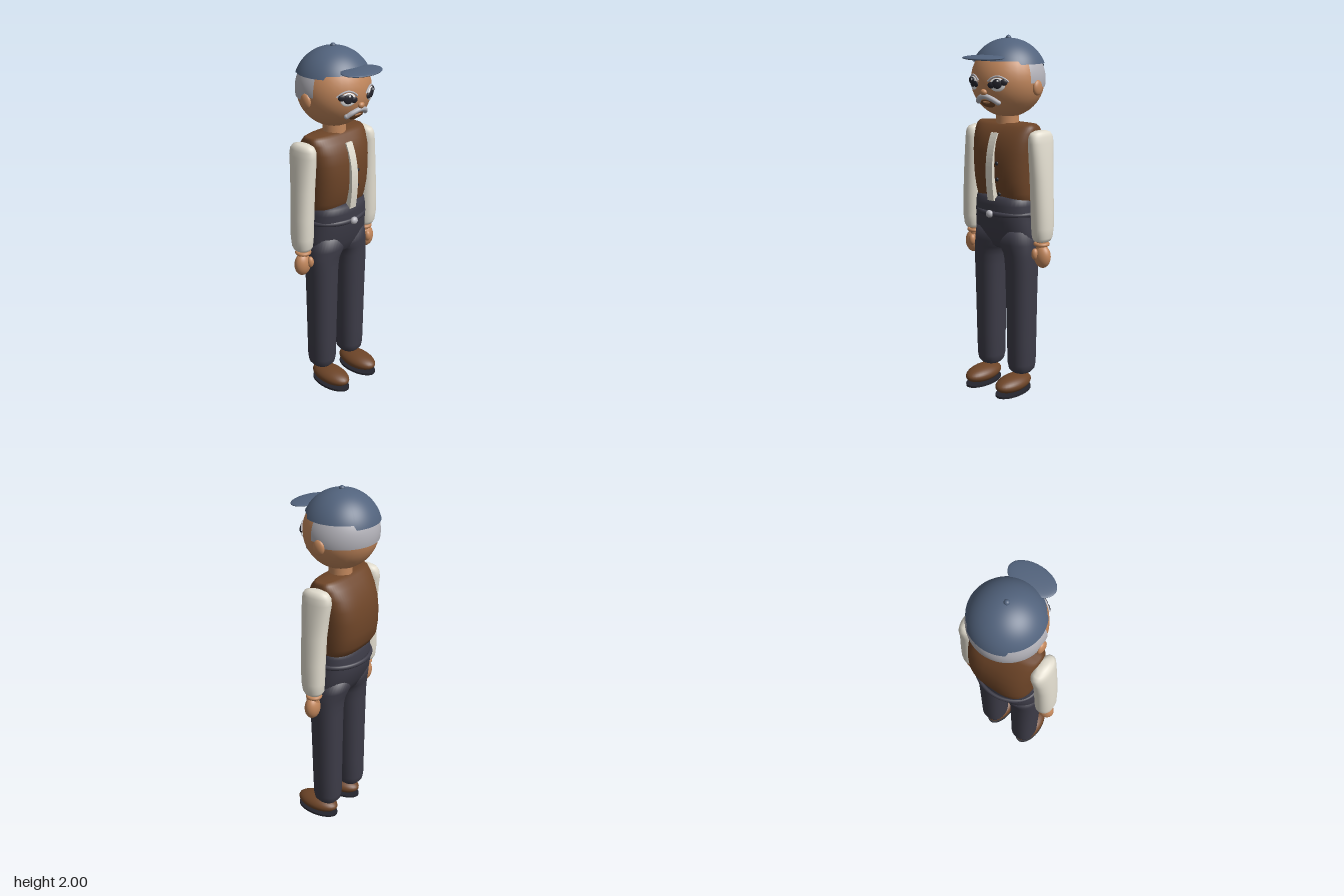
import * as THREE from 'three';

const mat = (name, color, side = THREE.FrontSide) => {
  const m = new THREE.MeshStandardMaterial({ color, side });
  m.name = name;
  return m;
};

export function createModel() {
  const skin = mat('skin', 0xc2875c), brown = mat('brown leather', 0x6e4528);
  const cloth = mat('cream shirt', 0xe2ddcf), navy = mat('dark trousers', 0x3d3c48);
  const blue = mat('cap blue', 0x52637d, THREE.DoubleSide), grey = mat('grey hair', 0xb4b3ba, THREE.DoubleSide);
  const dark = mat('near black', 0x25252d), white = mat('eye white', 0xeeeeee);
  const model = new THREE.Group();
  model.name = 'oldManInCap';

  const add = (name, geo, material, x = 0, y = 0, z = 0) => {
    const mesh = new THREE.Mesh(geo, material);
    mesh.name = name;
    mesh.position.set(x, y, z);
    model.add(mesh);
    return mesh;
  };
  const ball = (name, material, x, y, z, rx, ry = rx, rz = rx) => {
    const mesh = add(name, new THREE.SphereGeometry(1, 32, 20), material, x, y, z);
    mesh.scale.set(rx, ry, rz);
    return mesh;
  };

  // Closed body through superellipse sections [y, xMin, xMax, zMin, zMax], bottom to top
  const loft = (rows, power = 2, n = 40) => {
    const pos = [], idx = [];
    const bend = (v) => Math.sign(v) * Math.abs(v) ** (2 / power);
    for (const [y, x0, x1, z0, z1] of rows) {
      for (let i = 0; i < n; i++) {
        const a = (i / n) * Math.PI * 2;
        pos.push((x0 + x1) / 2 + ((x1 - x0) / 2) * bend(Math.cos(a)), y, (z0 + z1) / 2 + ((z1 - z0) / 2) * bend(Math.sin(a)));
      }
    }
    for (let r = 0; r < rows.length - 1; r++) {
      for (let i = 0; i < n; i++) {
        const a = r * n + i, b = r * n + ((i + 1) % n);
        idx.push(a, a + n, b, b, a + n, b + n);
      }
    }
    for (const r of [0, rows.length - 1]) {
      const [y, x0, x1, z0, z1] = rows[r], c = pos.length / 3;
      pos.push((x0 + x1) / 2, y, (z0 + z1) / 2);
      for (let i = 0; i < n; i++) {
        const a = r * n + i, b = r * n + ((i + 1) % n);
        if (r) idx.push(c, b, a);
        else idx.push(c, a, b);
      }
    }
    const g = new THREE.BufferGeometry();
    g.setAttribute('position', new THREE.Float32BufferAttribute(pos, 3));
    g.setIndex(idx);
    g.computeVertexNormals();
    return g;
  };
  const mirrorRows = (rows, s) => rows.map(([y, a, b, c, d]) => (s > 0 ? [y, a, b, c, d] : [y, -b, -a, c, d]));

  // Head, neck and hair
  const HY = 1.765, HZ = -0.035, HR = 0.2;
  ball('head', skin, 0, HY, HZ, HR, 0.203, HR);
  add('neck', new THREE.CylinderGeometry(0.062, 0.064, 0.12, 32), skin, 0, 1.56, -0.033);
  const hairShell = (name, r, start, bottom) => add(name,
    new THREE.SphereGeometry(r, 48, 16, Math.PI + start, Math.PI - 2 * start, 0.9, bottom - 0.9), grey, 0, HY, HZ);
  hairShell('sideHair', 0.204, -0.23, Math.PI / 2 + 0.05);
  hairShell('backHair', 0.205, 0.18, Math.PI / 2 + 0.18);

  // Cap: dome whose rim steps down from front to back
  const dome = new THREE.SphereGeometry(0.21, 96, 20, 0, Math.PI * 2, 0, 1);
  const p = dome.attributes.position, nor = dome.attributes.normal, v = new THREE.Vector3();
  for (let i = 0; i < p.count; i++) {
    const phi = dome.attributes.uv.getX(i) * Math.PI * 2;
    const dx = -Math.cos(phi), dz = Math.sin(phi);
    const rim = dz > 0.55 ? 1.1 : dz < 0 && Math.abs(dx) < 0.57 ? 1.31 : 1.19;
    const t = (1 - dome.attributes.uv.getY(i)) * rim;
    v.set(dx * Math.sin(t), Math.cos(t), dz * Math.sin(t));
    nor.setXYZ(i, v.x, v.y, v.z);
    v.multiplyScalar(0.21);
    p.setXYZ(i, v.x, v.y, v.z);
  }
  add('capDome', dome, blue, 0, 1.775, -0.04);
  ball('capButton', blue, 0, 1.985, -0.04, 0.015);
  ball('capBrim', blue, 0, 1.888, 0.162, 0.131, 0.012, 0.082).rotation.x = 0.06;

  // Face details sit flat against the head
  const onFace = (x, y, lift = 0) => {
    const d = new THREE.Vector3(x, y - HY, Math.sqrt(HR * HR - x * x - (y - HY) ** 2)).normalize();
    return d.multiplyScalar(HR + lift).add(new THREE.Vector3(0, HY, HZ));
  };
  const faceDot = (name, material, x, y, lift, rx, ry, rz = 0.008) => {
    const q = onFace(x, y, lift);
    const m = ball(name, material, q.x, q.y, q.z, rx, ry, rz);
    m.lookAt(q.x * 2, q.y * 2 - HY, q.z * 2 - HZ);
    return m;
  };
  const faceTube = (name, material, pts, r, lift) => add(name, new THREE.TubeGeometry(
    new THREE.CatmullRomCurve3(pts.map(([x, y]) => onFace(x, y, lift))), 24, r, 10), material);

  for (const s of [1, -1]) {
    faceDot('eyeWhite', white, s * 0.083, 1.752, 0.001, 0.043, 0.036);
    faceDot('iris', dark, s * 0.083, 1.757, 0.007, 0.027, 0.026);
    for (const o of [-0.03, 0.03]) faceDot('eyelid', dark, s * 0.083 + o, 1.757 + s * o * 0.25, 0.006, 0.02, 0.017);
    faceDot('eyeGlint', white, s * 0.083 + 0.004, 1.772, 0.014, 0.006, 0.006, 0.003);
    faceTube('eyebrow', grey, [-0.05, -0.03, 0, 0.03, 0.05].map((o) => [s * 0.083 + o, 1.795 - o * o * 11]), 0.005, 0.003);
    ball('ear', skin, s * 0.202, 1.73, -0.04, 0.018, 0.041, 0.034);
  }
  faceDot('nose', skin, 0, 1.71, 0.004, 0.02, 0.017, 0.016);
  faceDot('mouth', brown, 0, 1.647, 0.001, 0.05, 0.026);
  faceDot('lip', skin, 0, 1.658, 0.007, 0.025, 0.007, 0.004);
  faceTube('moustache', grey, [-0.068, -0.045, 0, 0.045, 0.068].map((x) => [x, 1.69 - x * x * 7]), 0.014, 0.006);
  for (const s of [1, -1]) faceDot('moustacheTip', grey, s * 0.068, 1.658, 0.006, 0.014, 0.014, 0.013);

  // Vest with shirt placket and buttons
  add('vest', loft([
    [1.1, -0.16, 0.16, -0.14, 0.05], [1.115, -0.18, 0.18, -0.17, 0.068], [1.16, -0.186, 0.186, -0.198, 0.085],
    [1.23, -0.19, 0.19, -0.209, 0.1], [1.31, -0.193, 0.193, -0.21, 0.105], [1.38, -0.196, 0.196, -0.198, 0.102],
    [1.44, -0.199, 0.199, -0.175, 0.09], [1.49, -0.201, 0.201, -0.142, 0.066], [1.52, -0.2, 0.2, -0.112, 0.04],
    [1.534, -0.19, 0.19, -0.09, 0.02],
  ], 3, 56), brown);
  const side = new THREE.Shape();
  side.moveTo(-0.06, 1.485);
  side.lineTo(-0.078, 1.485);
  side.bezierCurveTo(-0.135, 1.37, -0.13, 1.25, -0.108, 1.115);
  side.lineTo(-0.04, 1.115);
  side.bezierCurveTo(-0.07, 1.25, -0.07, 1.37, -0.04, 1.485);
  const strip = new THREE.ExtrudeGeometry(side, { depth: 0.046, bevelEnabled: false, curveSegments: 16 });
  add('shirtPlacket', strip.translate(0, 0, -0.023).rotateY(Math.PI / 2), cloth);
  [[1.325, 0.104], [1.237, 0.101], [1.153, 0.084]].forEach(([y, z]) => ball('vestButton', dark, 0.04, y, z, 0.011, 0.011, 0.008));

  // Trousers: hips, legs and belt
  add('hips', loft([
    [0.835, -0.15, 0.15, -0.09, 0.04], [0.85, -0.185, 0.185, -0.118, 0.06], [0.9, -0.196, 0.196, -0.142, 0.078],
    [0.95, -0.196, 0.196, -0.163, 0.09], [1.0, -0.192, 0.192, -0.175, 0.1], [1.04, -0.187, 0.187, -0.177, 0.104],
    [1.09, -0.185, 0.185, -0.172, 0.104], [1.125, -0.178, 0.178, -0.162, 0.1], [1.14, -0.15, 0.15, -0.14, 0.08],
  ], 2.4), navy);
  const legRows = [
    [0.1, 0.08, 0.15, -0.065, 0.01], [0.107, 0.06, 0.17, -0.085, 0.032], [0.125, 0.047, 0.184, -0.1, 0.048],
    [0.16, 0.04, 0.19, -0.107, 0.055], [0.3, 0.037, 0.193, -0.108, 0.058], [0.55, 0.031, 0.197, -0.11, 0.063],
    [0.72, 0.027, 0.201, -0.112, 0.067], [0.78, 0.021, 0.202, -0.115, 0.069], [0.81, 0.013, 0.202, -0.119, 0.07],
    [0.83, 0, 0.202, -0.123, 0.072], [0.87, -0.03, 0.2, -0.134, 0.076], [0.95, -0.05, 0.19, -0.15, 0.08],
  ];
  const belt = add('belt', new THREE.TorusGeometry(0.185, 0.014, 14, 64).rotateX(Math.PI / 2), navy, 0, 1.042, -0.04);
  belt.scale.z = 0.8;
  ball('beltBuckle', grey, 0, 1.042, 0.118, 0.023, 0.021, 0.018);

  // Arms, hands and shoes on both sides
  const sleeveRows = [
    [0.9, 0.22, 0.28, -0.065, 0], [0.905, 0.207, 0.292, -0.08, 0.015], [0.925, 0.199, 0.302, -0.092, 0.027],
    [0.98, 0.196, 0.308, -0.097, 0.034], [1.1, 0.191, 0.305, -0.1, 0.036], [1.25, 0.185, 0.296, -0.105, 0.038],
    [1.37, 0.178, 0.284, -0.118, 0.042], [1.44, 0.177, 0.275, -0.13, 0.045], [1.475, 0.18, 0.269, -0.126, 0.043],
    [1.495, 0.188, 0.26, -0.11, 0.03], [1.504, 0.2, 0.245, -0.08, 0.0],
  ];
  for (const s of [1, -1]) {
    add('trouserLeg', loft(mirrorRows(legRows, s), 2.3), navy);
    add('sleeve', loft(mirrorRows(sleeveRows, s), 2.2), cloth);
    add('wrist', new THREE.CylinderGeometry(0.028, 0.03, 0.08, 24), skin, s * 0.247, 0.88, -0.032);
    add('wristBand', new THREE.TorusGeometry(0.034, 0.011, 12, 32).rotateX(Math.PI / 2), skin, s * 0.247, 0.885, -0.032);
    ball('hand', skin, s * 0.256, 0.816, -0.028, 0.05, 0.065, 0.04);
    ball('thumb', skin, s * 0.232, 0.832, 0.008, 0.019, 0.032, 0.02);
    ball('shoe', brown, s * 0.114, 0.055, 0.047, 0.073, 0.047, 0.133);
    const sole = add('shoeSole', new THREE.CylinderGeometry(1, 1, 0.012, 48), dark, s * 0.114, 0.006, 0.047);
    sole.scale.set(0.07, 1, 0.132);
  }
  return model;
}
